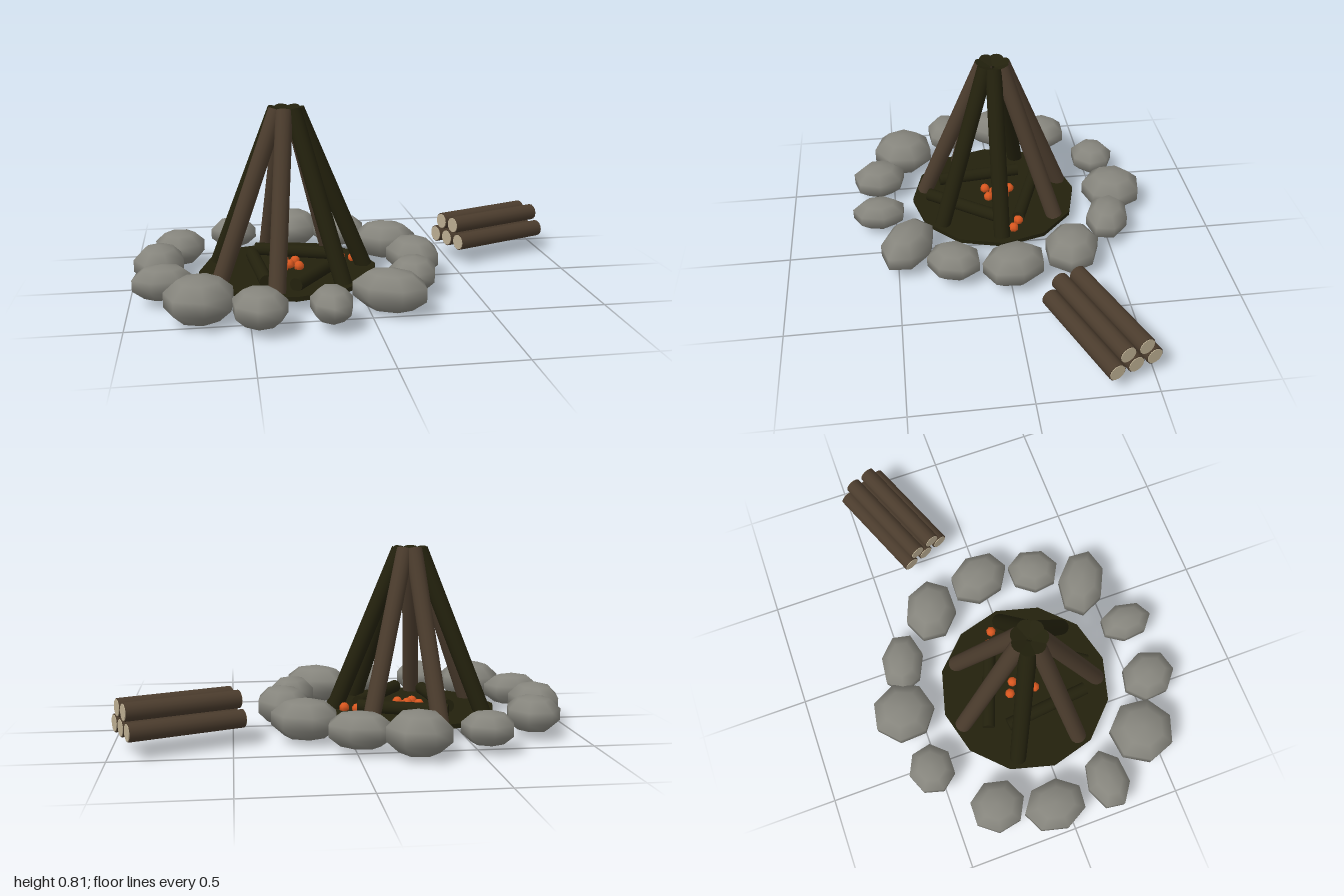
import * as THREE from 'three';

const material = (name, color) => Object.assign(new THREE.MeshStandardMaterial({ color }), { name });

export function createModel() {
  const stone = material('stone grey', 0x86857d);
  const brown = material('bark brown', 0x4b3c2d);
  const charred = material('charred wood', 0x23210d);
  const cream = material('cut wood', 0xbcae92);
  const orange = material('ember orange', 0xd9571f);
  const model = new THREE.Group();
  const CX = -0.305, CZ = 0.01;

  const add = (name, geometry, mat, parent = model) => {
    const mesh = new THREE.Mesh(geometry, mat);
    mesh.name = name;
    parent.add(mesh);
    return mesh;
  };

  // Cylinder running between two points
  const log = (name, from, to, radius, mat, parent = model) => {
    const a = new THREE.Vector3(...from), b = new THREE.Vector3(...to);
    const axis = b.clone().sub(a);
    const mesh = add(name, new THREE.CylinderGeometry(radius, radius, axis.length(), 14), mat, parent);
    mesh.position.copy(a).add(b).multiplyScalar(0.5);
    mesh.quaternion.setFromUnitVectors(new THREE.Vector3(0, 1, 0), axis.normalize());
    return mesh;
  };

  // Ash bed
  add('ashBed', new THREE.CylinderGeometry(0.4, 0.4, 0.02, 12), charred).position.set(CX, 0.065, CZ);

  // Cone of seven leaning poles, with charred ends
  const poleColours = [charred, charred, brown, brown, charred, brown, brown];
  poleColours.forEach((bark, i) => {
    const t = (i / 7) * Math.PI * 2, c = Math.cos(t), s = Math.sin(t);
    log('leaningPole', [CX + 0.345 * c, 0.07, CZ + 0.345 * s],
      [CX + 0.045 * c, 0.797, CZ + 0.045 * s], 0.038, [bark, charred, charred]);
  });

  // Charred logs lying on the ash
  [
    [-0.44, -0.22, -0.06, -0.08],
    [-0.3, 0.33, -0.07, 0.0],
    [-0.46, -0.13, -0.42, 0.27],
  ].forEach(([x1, z1, x2, z2]) => log('charredLog', [x1, 0.1, z1], [x2, 0.1, z2], 0.03, charred));

  // Glowing embers: a central heap and two strays
  [
    [-0.3, 0.01], [-0.35, -0.02], [-0.33, 0.05], [-0.26, 0.04],
    [-0.27, -0.04], [-0.32, -0.07], [0.0, -0.05], [-0.055, -0.08],
  ].forEach(([x, z], i) => {
    const ember = add('ember', new THREE.SphereGeometry(0.024, 7, 5), orange);
    ember.position.set(x, 0.088, z);
    ember.rotation.y = i * 1.3;
  });

  // Ring of squashed stones: x, z, half width, half depth, turn, facet phase
  [
    [-0.535, -0.53, 0.113, 0.105, 0, 0.2],
    [-0.24, -0.57, 0.137, 0.144, 0, 0.5],
    [-0.01, -0.5, 0.14, 0.098, -0.35, 0.1],
    [0.195, -0.29, 0.148, 0.122, -0.4, 0.7],
    [0.275, -0.015, 0.115, 0.146, 0.3, 0.4],
    [0.22, 0.25, 0.105, 0.123, -0.35, 0.1],
    [0.08, 0.45, 0.164, 0.11, -0.5, 0.3],
    [-0.18, 0.575, 0.088, 0.125, 0, 0.6],
    [-0.465, 0.57, 0.112, 0.128, 0.3, 0.2],
    [-0.7, 0.44, 0.146, 0.148, 0, 0.8],
    [-0.855, 0.205, 0.135, 0.096, 0, 0.35],
    [-0.88, -0.06, 0.114, 0.142, 0, 0.15],
    [-0.795, -0.305, 0.117, 0.125, 0, 0.65],
  ].forEach(([x, z, w, d, turn, phase]) => {
    const rock = add('ringStone', new THREE.SphereGeometry(1, 7, 5).rotateY(phase), stone);
    rock.scale.set(w * 1.05, (w + d) * 0.34, d * 1.05);
    rock.position.set(x, 0.1, z);
    rock.rotation.y = turn;
  });

  // Stack of cut firewood: three below, two above
  const stack = new THREE.Group();
  stack.name = 'firewoodStack';
  stack.position.set(0.72, 0, -0.31);
  stack.rotation.y = 0.387;
  model.add(stack);
  [[-0.09, 0.113], [0, 0.113], [0.09, 0.113], [-0.045, 0.187], [0.045, 0.187]].forEach(([z, y]) => {
    log('firewood', [-0.247, y, z], [0.247, y, z], 0.039, brown, stack);
    // Pale cut faces on both ends
    for (const side of [-1, 1]) {
      log('cutFace', [side * 0.246, y, z], [side * 0.25, y, z], 0.035, cream, stack);
    }
  });

  return model;
}
